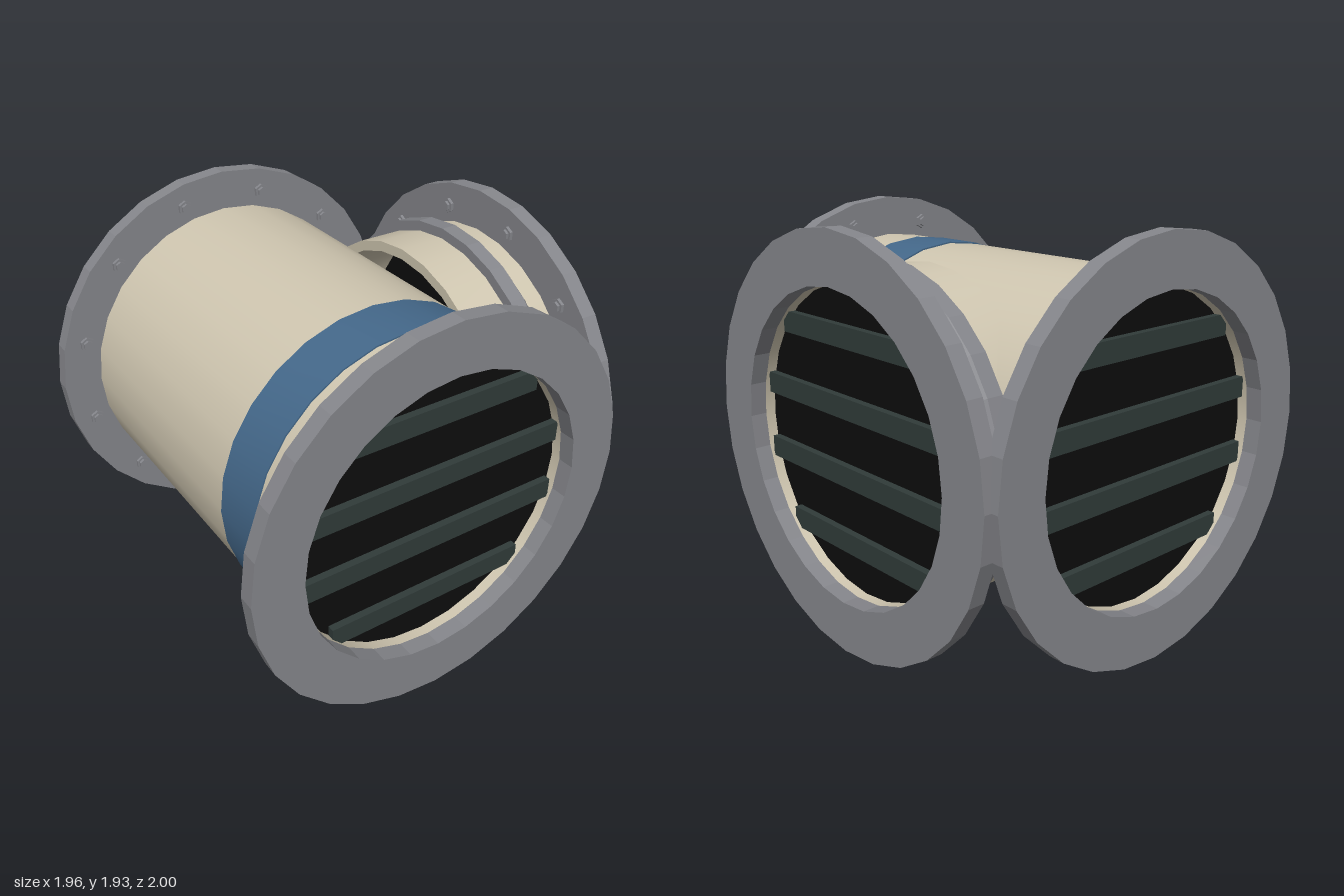
import * as THREE from 'three';
import { toCreasedNormals } from 'three/addons/utils/BufferGeometryUtils.js';

const SIDES = 28;
const PIPE_R = 0.77, BORE_R = 0.72, FLANGE_R = 0.965;
const FLAT = 0.1, SMOOTH = 0.5;

const material = (name, color) => {
  const m = new THREE.MeshStandardMaterial({ color });
  m.name = name;
  return m;
};

export function createModel() {
  const steel = material('grey steel', 0x85868b);
  const cream = material('cream paint', 0xcfc6b0);
  const blue = material('blue paint', 0x44688a);
  const black = material('black interior', 0x0d0d0d);
  const slatGreen = material('dark green slats', 0x303b39);

  function add(parent, name, geometry, mat) {
    const mesh = new THREE.Mesh(geometry, mat);
    mesh.name = name;
    parent.add(mesh);
    return mesh;
  }

  // Closed ring turned around z; profile is [radius, z], up the outside and down the inside
  function ring(profile, crease) {
    const pts = [...profile, profile[0]].map(([r, z]) => new THREE.Vector2(r, z));
    const geo = new THREE.LatheGeometry(pts, SIDES);
    geo.rotateX(Math.PI / 2);
    return toCreasedNormals(geo, crease);
  }
  const tube = (outer, inner, z0, z1, crease) =>
    ring([[outer, z0], [outer, z1], [inner, z1], [inner, z0]], crease);

  // Disc or hexagon along z
  function plug(radius, depth, sides) {
    const geo = new THREE.CylinderGeometry(radius, radius, depth, sides);
    return geo.rotateX(Math.PI / 2);
  }
  const boltBase = toCreasedNormals(plug(0.038, 0.016, 6), FLAT);
  const boltTip = toCreasedNormals(plug(0.026, 0.03, 6), FLAT);

  // Flanged, louvred pipe mouth facing +z, with its face at z = 0
  function pipeMouth(name) {
    const mouth = new THREE.Group();
    mouth.name = name;
    add(mouth, 'flange', tube(FLANGE_R, BORE_R, -0.08, 0, FLAT), steel);
    add(mouth, 'dark backing', plug(BORE_R, 0.02, SIDES), black).position.z = -0.14;

    // Slats: the outer pair is shorter to fit the bore
    [-1.5, -0.5, 0.5, 1.5].forEach((row) => {
      const length = Math.abs(row) > 1 ? 1.05 : 1.38;
      const slat = add(mouth, 'slat', new THREE.BoxGeometry(length, 0.1, 0.05), slatGreen);
      slat.position.set(0, row * 0.323, -0.12);
    });

    // Bolt heads on the rear of the flange
    for (let i = 0; i < 12; i++) {
      const a = (i + 0.5) * Math.PI / 6;
      const bolt = new THREE.Group();
      bolt.name = 'bolt';
      bolt.position.set(0.85 * Math.cos(a), 0.85 * Math.sin(a), -0.08);
      add(bolt, 'bolt base', boltBase, steel).position.z = -0.008;
      add(bolt, 'bolt tip', boltTip, steel).position.z = -0.015;
      mouth.add(bolt);
    }
    return mouth;
  }

  const model = new THREE.Group();
  model.name = 'pipe tee';

  // Main run along z
  const run = new THREE.Group();
  run.name = 'main run';
  run.position.set(-0.02, 0.97, 0);
  add(run, 'main pipe', tube(PIPE_R, BORE_R, -0.92, 0.92, SMOOTH), cream);
  add(run, 'blue band', tube(0.777, 0.765, 0.41, 0.68, SMOOTH), blue);
  const front = pipeMouth('front mouth');
  front.position.z = 1;
  const back = pipeMouth('back mouth');
  back.position.z = -1;
  back.rotation.y = Math.PI;
  run.add(front, back);

  // Side branch, built along z and turned to +x
  const branch = new THREE.Group();
  branch.name = 'side branch';
  branch.position.set(0, 0.97, 0);
  branch.rotation.y = Math.PI / 2;
  add(branch, 'branch pipe', tube(PIPE_R, BORE_R, 0.44, 0.9, SMOOTH), cream);
  add(branch, 'branch collar',
    ring([[0.82, 0.68], [0.82, 0.76], [0.765, 0.81], [0.76, 0.81], [0.76, 0.68]], FLAT), steel);
  const side = pipeMouth('side mouth');
  side.position.z = 0.98;
  branch.add(side);

  model.add(run, branch);
  return model;
}
